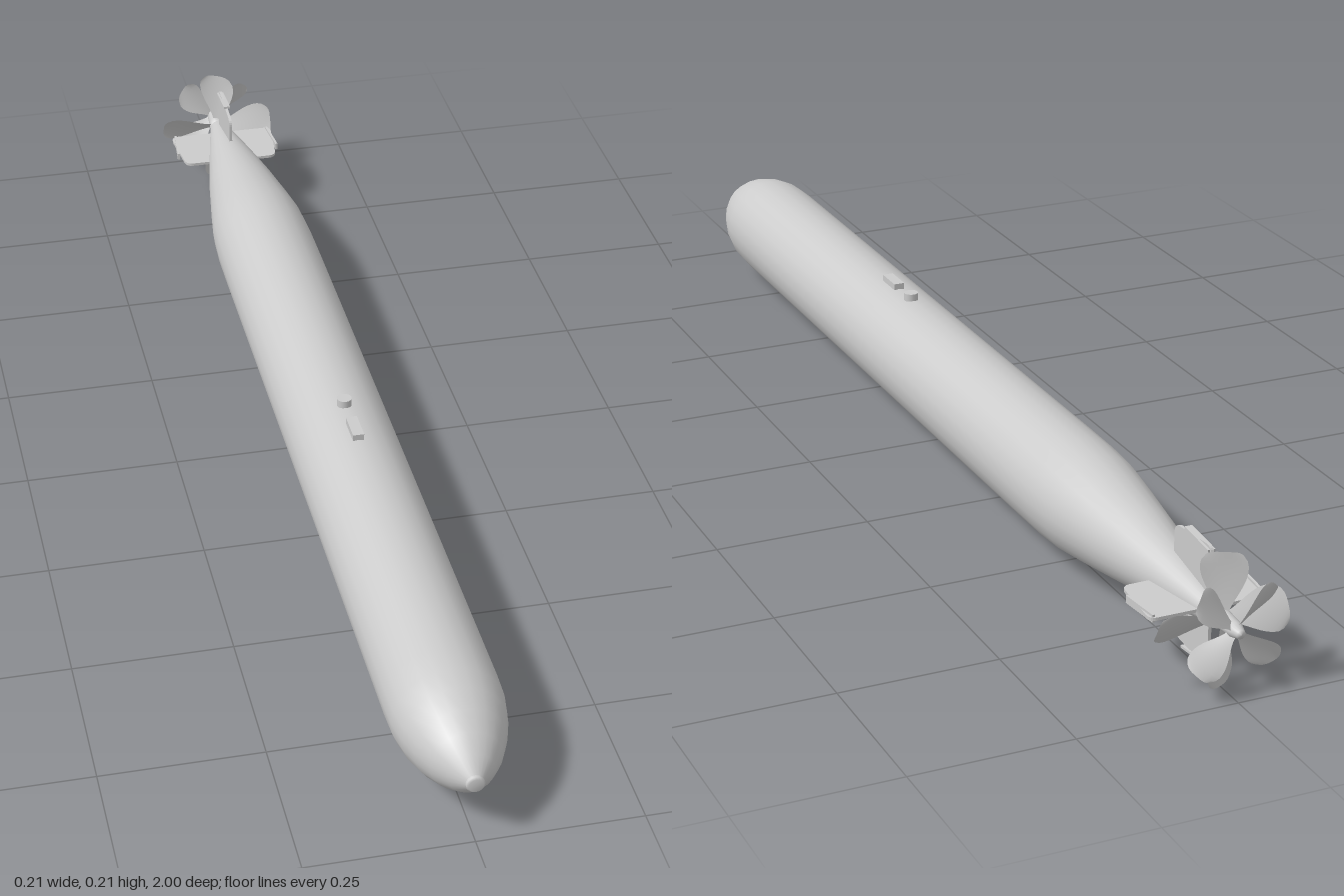
import * as THREE from 'three';

const grey = new THREE.MeshStandardMaterial({ color: 0xcccccc });
const sheet = new THREE.MeshStandardMaterial({ color: 0xcccccc, side: THREE.DoubleSide });

function part(name, geometry, material = grey) {
  const mesh = new THREE.Mesh(geometry, material);
  mesh.name = name;
  return mesh;
}

// Body of revolution about z; points are [radius, z] from tail to nose
function turned(points, sides) {
  const profile = points.map(([r, z]) => new THREE.Vector2(r, z));
  return new THREE.LatheGeometry(profile, sides).rotateX(Math.PI / 2);
}

// Fan-shaped propeller blade pointing along +y, twisted by its pitch
function bladeGeometry(radius, halfWidth, pitch) {
  const g = new THREE.PlaneGeometry(2, 1, 8, 10);
  const p = g.attributes.position;
  for (let i = 0; i < p.count; i++) {
    const v = p.getX(i);
    const u = p.getY(i) + 0.5;
    const flare = 0.25 + 0.75 * Math.sin(Math.min(u / 0.8, 1) * Math.PI / 2) ** 1.5;
    const tip = u > 0.8 ? 1 - 0.25 * ((u - 0.8) / 0.2) ** 2 : 1;
    const w = v * halfWidth * flare * tip;
    const a = pitch * (1.6 - 0.6 * u);
    const camber = 0.004 * u * (1 - v * v);
    p.setXYZ(i, w * Math.cos(a), 0.008 + (radius - 0.008) * u - 0.005 * u * v ** 4,
      w * Math.sin(a) - camber);
  }
  g.computeVertexNormals();
  return g;
}

function propeller(name, radius, halfWidth, pitch, z, turn) {
  const group = new THREE.Group();
  group.name = name;
  const geometry = bladeGeometry(radius, halfWidth, pitch);
  for (let i = 0; i < 4; i++) {
    const blade = part('propellerBlade', geometry, sheet);
    blade.rotation.z = turn + i * Math.PI / 2;
    group.add(blade);
  }
  group.position.z = z;
  return group;
}

// Tail fin in the x-z plane with rounded outer corners
function finGeometry() {
  const s = new THREE.Shape();
  s.moveTo(0.01, -0.8);
  s.lineTo(0.072, -0.8);
  s.quadraticCurveTo(0.085, -0.8, 0.087, -0.815);
  s.lineTo(0.095, -0.895);
  s.quadraticCurveTo(0.095, -0.908, 0.083, -0.908);
  s.lineTo(0.01, -0.908);
  s.closePath();
  const g = new THREE.ExtrudeGeometry(s, { depth: 0.005, bevelEnabled: false, curveSegments: 6 });
  return g.translate(0, 0, -0.0025).rotateX(Math.PI / 2);
}

export function createModel() {
  const model = new THREE.Group();
  model.name = 'torpedo';
  const body = new THREE.Group();
  body.name = 'body';
  body.position.set(-0.002, 0.104, 0);
  model.add(body);

  // Hull with tapering tail and rounded, pointed nose
  body.add(part('hull', turned([
    [0.016, -0.93], [0.028, -0.87], [0.042, -0.8], [0.06, -0.7], [0.075, -0.6],
    [0.083, -0.54], [0.086, -0.48], [0.0865, -0.4], [0.0865, 0.2], [0.0865, 0.8],
    [0.085, 0.845], [0.079, 0.88], [0.068, 0.915], [0.053, 0.947],
    [0.035, 0.973], [0.014, 0.993],
  ], 24)));
  body.add(part('noseCap', turned([[0.014, 0.985], [0.014, 0.997], [0.011, 1], [0, 1]], 16)));
  body.add(part('propellerShaft', turned([
    [0, -0.998], [0.007, -0.996], [0.012, -0.98], [0.014, -0.95], [0.016, -0.93], [0, -0.928],
  ], 16)));

  // Small fittings on top of the hull
  const lug = part('topLug', new THREE.BoxGeometry(0.018, 0.024, 0.052));
  lug.position.set(0, 0.084, 0.242);
  const plug = part('topPlug', new THREE.CylinderGeometry(0.012, 0.012, 0.024, 16));
  plug.position.set(0, 0.086, 0.165);
  body.add(lug, plug);

  // Four fins, each with a narrow plate near the tip
  const finShape = finGeometry();
  for (let i = 0; i < 4; i++) {
    const fin = new THREE.Group();
    fin.name = 'tailFin';
    fin.rotation.z = i * Math.PI / 2;
    const plate = part('finTipPlate', new THREE.BoxGeometry(0.004, 0.012, 0.07));
    plate.position.set(0.091, 0, -0.87);
    plate.rotation.y = 0.09;
    fin.add(part('finPanel', finShape), plate);
    body.add(fin);
  }

  // Contra-rotating propellers
  body.add(propeller('frontPropeller', 0.104, 0.034, 0.5, -0.942, 0));
  body.add(propeller('rearPropeller', 0.084, 0.027, -0.5, -0.98, Math.PI / 4));
  return model;
}
